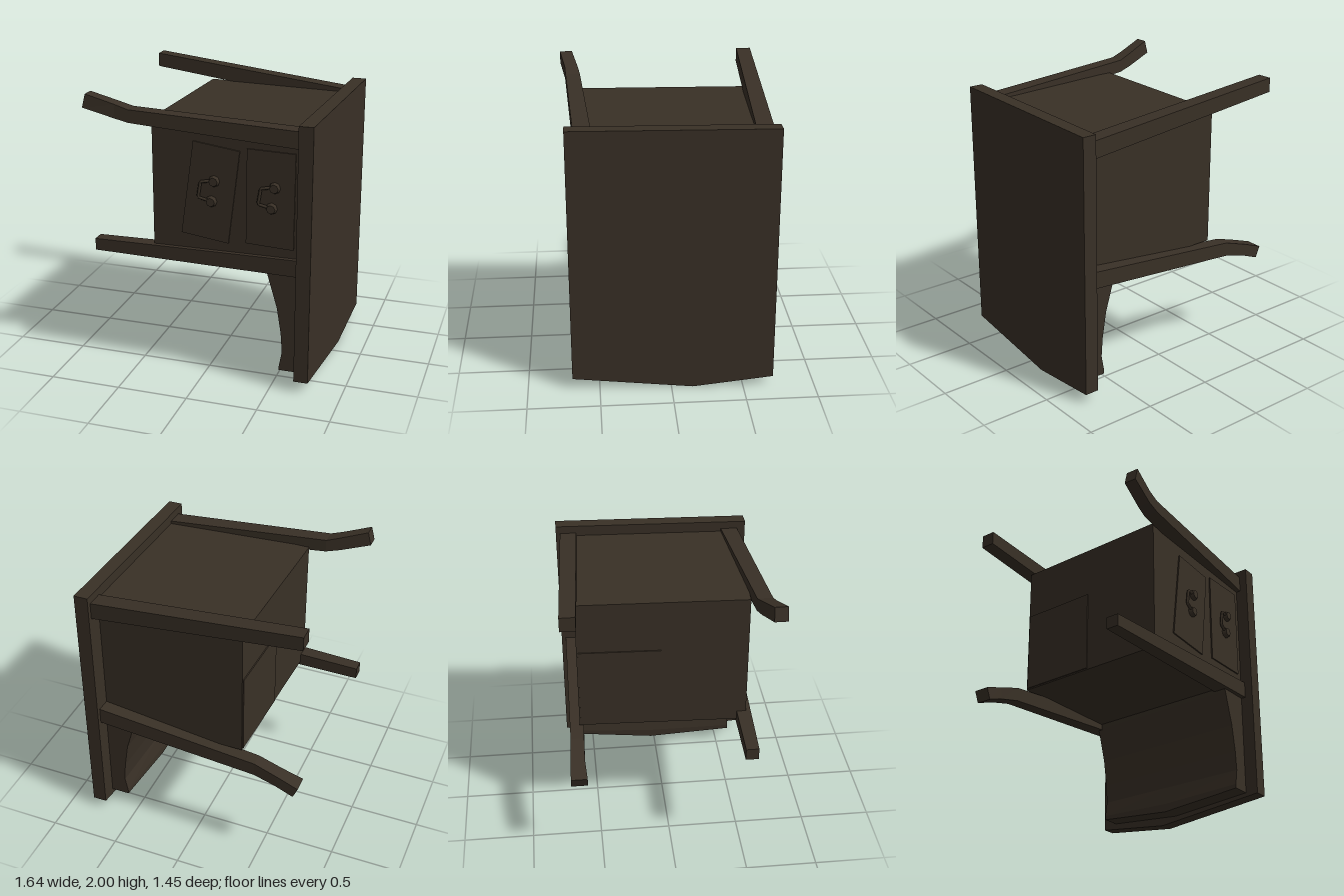
import * as THREE from 'three';

const wood = new THREE.MeshStandardMaterial({ color: 0x393026 });
wood.name = 'dark wood';

// Skin a stack of equal-sized rings of points, capped at both ends, facing outward.
function loft(rings) {
  const pos = [];
  const quad = (a, b, c, d) => pos.push([a, b, c], [a, c, d]);
  const n = rings[0].length;
  for (let i = 0; i < rings.length - 1; i++) {
    for (let j = 0; j < n; j++) {
      const k = (j + 1) % n;
      quad(rings[i][j], rings[i][k], rings[i + 1][k], rings[i + 1][j]);
    }
  }
  // Caps are strips joining the two halves of a ring
  const start = rings[0];
  const end = rings[rings.length - 1];
  for (let j = 0; j < n / 2 - 1; j++) {
    quad(start[j], start[n - 1 - j], start[n - 2 - j], start[j + 1]);
    quad(end[j], end[j + 1], end[n - 2 - j], end[n - 1 - j]);
  }
  const v = (p) => new THREE.Vector3(...p);
  const volume = pos.reduce((s, [a, b, c]) => s + v(a).dot(v(b).cross(v(c))), 0);
  const flat = pos.flatMap(([a, b, c]) => (volume < 0 ? [a, c, b] : [a, b, c])).flat();
  const geo = new THREE.BufferGeometry();
  geo.setAttribute('position', new THREE.Float32BufferAttribute(flat, 3));
  geo.computeVertexNormals();
  return geo;
}

// Rectangular bar along x; each section is [x, yLow, yHigh, zLow, zHigh, lean of the top in x].
const bar = (sections) => loft(sections.map(([x, y0, y1, z0, z1, lean = 0]) =>
  [[x, y0, z0], [x + lean, y1, z0], [x + lean, y1, z1], [x, y0, z1]]));

// The whole piece is turned slightly about y
const frontZ = (x) => 0.573 + 0.035 * x;
const boardX = (z) => 0.695 - 0.036 * z;
const footX = (z) => -0.361 - 0.034 * z;

export function createModel() {
  const group = new THREE.Group();
  const add = (name, geo, parent = group) => {
    const mesh = new THREE.Mesh(geo, wood);
    mesh.name = name;
    parent.add(mesh);
    return mesh;
  };

  // Table top, standing on its pointed edge
  const zs = [-0.71, -0.15, 0.69];
  const boardRing = (ys) => [
    ...zs.map((z, i) => [boardX(z), ys[i], z]),
    ...zs.map((z, i) => [boardX(z) + 0.1, ys[i], z]).reverse(),
  ];
  add('tableTop', loft([boardRing([0.07, 0, 0.08]), boardRing([1.895, 1.895, 1.895])]));

  // Cabinet
  add('cabinet', loft([
    [[0.73, 0.84, -0.58], [0.73, 1.82, -0.58], [0.69, 1.82, frontZ(0.69)], [0.69, 0.84, frontZ(0.69)]],
    [[-0.34, 0.86, -0.62], [-0.34, 1.83, -0.62], [-0.38, 1.83, frontZ(-0.38)], [-0.38, 0.86, frontZ(-0.38)]],
  ]));

  // Thin panel on the cabinet's underside
  add('basePanel', loft([-0.008, 0.004].map((d) =>
    [[0.87, -0.61], [1.46, -0.61], [1.46, -0.04], [0.87, -0.04]].map(([y, z]) => [footX(z) + d, y, z]))));

  // Legs: two straight, two bent outward
  add('frontUpperLeg', bar([
    [0.7, 1.72, 1.84, 0.51, 0.63], [-0.5, 1.815, 1.905, 0.575, 0.68],
    [-0.6, 1.84, 1.935, 0.59, 0.685, 0.01], [-0.81, 1.905, 2.0, 0.63, 0.72, 0.025],
  ]));
  add('frontLowerLeg', bar([[0.7, 0.83, 0.95, 0.505, 0.63], [-0.82, 0.83, 0.915, 0.49, 0.58]]));
  add('backUpperLeg', bar([[0.72, 1.72, 1.84, -0.68, -0.56], [-0.78, 1.9, 2.0, -0.725, -0.62]]));
  add('backLowerLeg', bar([
    [0.72, 0.82, 0.94, -0.68, -0.56], [-0.46, 0.73, 0.83, -0.69, -0.595],
    [-0.62, 0.69, 0.775, -0.7, -0.6, -0.015], [-0.75, 0.64, 0.72, -0.705, -0.59, -0.033],
  ]));

  // Curved support under the cabinet, following the pointed edge
  const supportZ = [-0.6, -0.03, 0.595];
  const supportRing = (x, ys) => [
    ...supportZ.map((z, i) => [x + 0.036 * (0.595 - z), ys[i], z]),
    ...supportZ.map((z, i) => [boardX(z) + 0.01, ys[i], z]).reverse(),
  ];
  add('curvedSupport', loft([
    supportRing(0.54, [0.1, 0.05, 0.1]),
    supportRing(0.54, [0.13, 0.11, 0.13]),
    ...[[0.56, 0.24], [0.55, 0.38], [0.52, 0.57], [0.45, 0.81], [0.44, 0.87]]
      .map(([x, y]) => supportRing(x, [y, y, y])),
  ]));

  // Drawer fronts as thin plates
  const plate = (corners) => loft([-0.004, 0.01].map((d) =>
    corners.map(([x, y]) => [x, y, frontZ(x) + d])));
  add('crookedDrawerFront', plate([[-0.08, 1.7], [0.25, 1.66], [0.17, 1.0], [-0.17, 1.04]]));
  add('straightDrawerFront', plate([[0.3, 1.685], [0.635, 1.68], [0.63, 1.01], [0.295, 1.02]]));

  // Handles: two knobs and a bent pull each
  for (const [name, x] of [['crookedDrawerHandle', 0], ['straightDrawerHandle', 0.425]]) {
    const handle = new THREE.Group();
    handle.name = name;
    handle.position.set(x, 0, frontZ(x));
    group.add(handle);
    for (const [kx, ky] of [[0.07, 1.435], [0.05, 1.29]]) {
      const knob = add('knob', new THREE.CylinderGeometry(0.03, 0.045, 0.04, 8), handle);
      knob.rotation.x = Math.PI / 2;
      knob.position.set(kx, ky, 0.02);
    }
    const pull = new THREE.CurvePath();
    const pts = [[0.06, 1.44, 0.02], [-0.02, 1.43, 0.035], [-0.038, 1.32, 0.035], [0.04, 1.295, 0.02]]
      .map((p) => new THREE.Vector3(...p));
    for (let i = 0; i < 3; i++) pull.add(new THREE.LineCurve3(pts[i], pts[i + 1]));
    add('pull', new THREE.TubeGeometry(pull, 18, 0.011, 6), handle);
  }
  return group;
}
